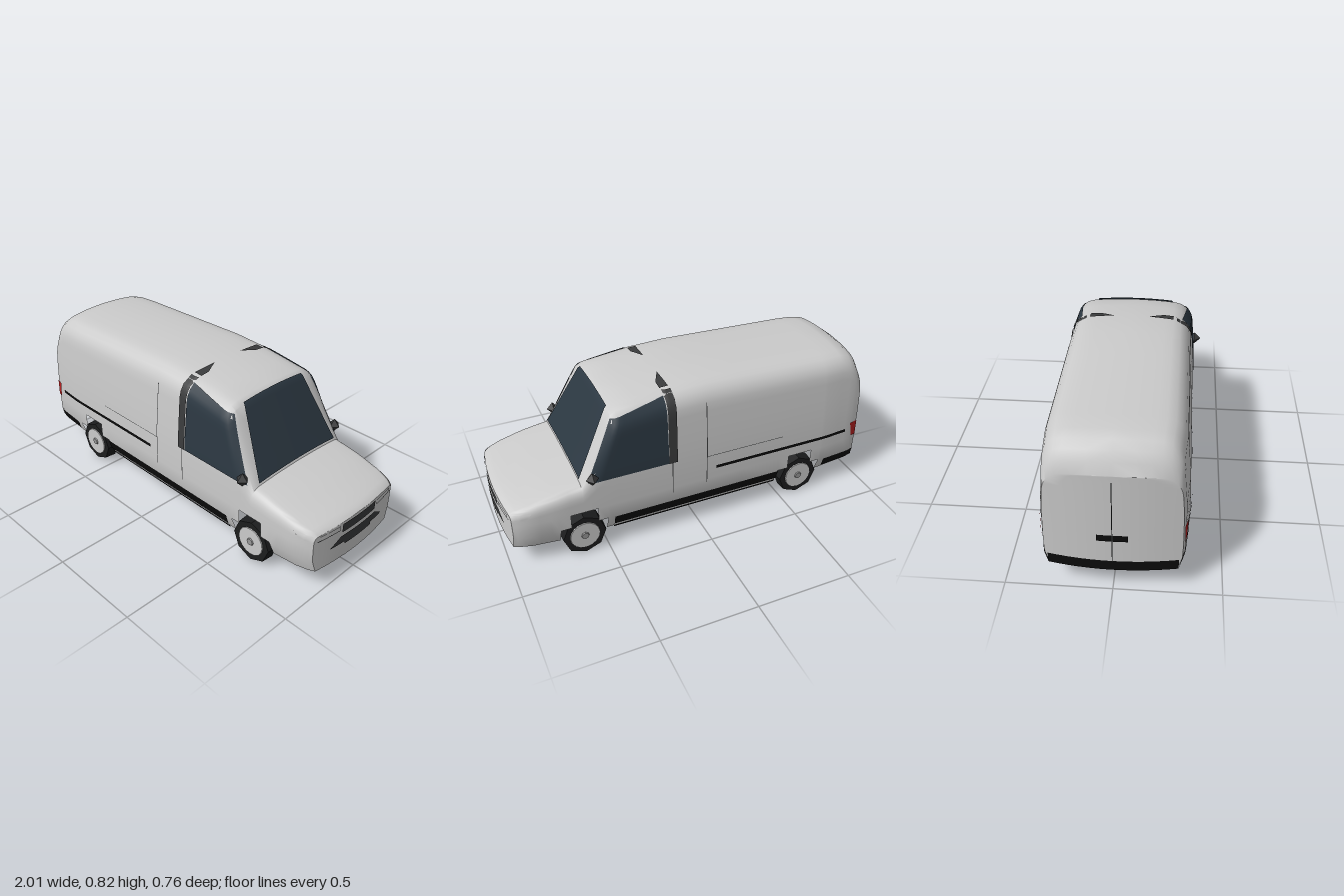
import * as THREE from 'three';
import { toCreasedNormals } from 'three/addons/utils/BufferGeometryUtils.js';

const paint = (color, side = THREE.FrontSide) => new THREE.MeshStandardMaterial({ color, side });
const GREY = 0xcccccc, BLACK = 0x0c0c0c, DARK = 0x3a3b3c, GLASS = 0x2c3842;

// Straight-line interpolation through [position, value] pairs
function along(knots, t) {
  if (t <= knots[0][0]) return knots[0][1];
  for (let i = 1; i < knots.length; i++) {
    const [a, u] = knots[i - 1], [b, v] = knots[i];
    if (t <= b) return u + (v - u) * (t - a) / (b - a);
  }
  return knots[knots.length - 1][1];
}

// Body rules: roof and hood line, floor line, plan taper, side curve
const ROOF = [[-1, 0.65], [-0.975, 0.7], [-0.95, 0.745], [-0.91, 0.775], [-0.85, 0.785], [-0.05, 0.808],
  [0.15, 0.8], [0.41, 0.768], [0.44, 0.752], [0.62, 0.418], [0.8, 0.385], [0.93, 0.355], [0.98, 0.34], [1, 0.325]];
const FLOOR = [[-1, 0.125], [-0.75, 0.11], [-0.7, 0.1], [0.75, 0.1], [1, 0.12]];
const PLAN = [[-1, 0.92], [-0.95, 0.955], [-0.75, 1], [0.75, 1], [0.9, 0.97], [0.96, 0.93], [1, 0.88]];
const SIDE = [[0.1, 0.3], [0.13, 0.318], [0.2, 0.34], [0.27, 0.339], [0.45, 0.336], [0.66, 0.318], [0.82, 0.302]];
const STATIONS = [-1, -0.975, -0.95, -0.91, -0.85, -0.75, -0.73, -0.67, -0.53, -0.47, -0.25, -0.05, 0.15, 0.3,
  0.41, 0.44, 0.47, 0.5, 0.55, 0.585, 0.62, 0.69, 0.75, 0.8, 0.86, 0.9, 0.93, 0.96, 0.98, 1];
const CROWN = 0.012;

// Half width of the body at a place on its side, rounding in to the roof
function half(x, y) {
  const top = along(ROOF, x), r = Math.min(0.1, (top - 0.25) * 0.4);
  const k = Math.max(0, Math.min(1, 1 - (top - y) / r));
  return along(PLAN, x) * along(SIDE, y) - 0.85 * r * (1 - Math.sqrt(1 - k * k));
}

// Bow the nose and tail in plan
function bow(x, y, z) {
  const e = Math.max(0, (Math.abs(x) - 0.7) / 0.3);
  return [x - Math.sign(x) * 0.03 * e * (z / 0.3) ** 2, y, z];
}

// One half cross-section, from the middle of the floor up to the middle of the roof
function section(x) {
  const top = along(ROOF, x), yb = along(FLOOR, x), low = Math.min(0.27, top - 0.08);
  const rows = [[0, yb], [0.24, yb]];
  for (const y of [yb, 0.19, low]) rows.push([half(x, y), y]);
  for (const f of [0.2, 0.4, 0.6, 0.75, 0.83, 0.89, 0.94, 0.98, 1]) {
    const y = low + f * (top - low);
    rows.push([half(x, y), y]);
  }
  const edge = half(x, top);
  for (const f of [0.8, 0.5, 0]) rows.push([edge * f, top + CROWN * (1 - f * f)]);
  return rows;
}

// Stepped wheel-arch openings
function inArch(x, row) {
  for (const [a, b, c, d] of [[-0.73, -0.67, -0.53, -0.47], [0.5, 0.55, 0.69, 0.75]]) {
    if (x > b && x < c) return row >= 1 && row <= 3;
    if (x > a && x < d) return row >= 1 && row <= 2;
  }
  return false;
}

function bodyShell() {
  const pos = [];
  const quad = (a, b, c, d, flip) => {
    for (const p of flip ? [a, c, b, a, d, c] : [a, b, c, a, c, d]) pos.push(...bow(...p));
  };
  const rings = STATIONS.map(section);
  for (const s of [1, -1]) {
    for (let i = 0; i < rings.length - 1; i++) {
      for (let j = 0; j < rings[i].length - 1; j++) {
        if (inArch((STATIONS[i] + STATIONS[i + 1]) / 2, j)) continue;
        const p = (k, row) => [STATIONS[k], rings[k][row][1], s * rings[k][row][0]];
        quad(p(i, j), p(i + 1, j), p(i + 1, j + 1), p(i, j + 1), s < 0);
      }
    }
  }
  // Nose and tail faces
  for (const end of [0, rings.length - 1]) {
    const ring = rings[end], n = 8;
    for (let j = 2; j < ring.length - 1; j++) {
      for (let i = 0; i < n; i++) {
        const p = (k, row) => [STATIONS[end], ring[row][1], ring[row][0] * (1 - 2 * k / n)];
        quad(p(i, j), p(i + 1, j), p(i + 1, j + 1), p(i, j + 1), end === 0);
      }
    }
  }
  const g = new THREE.BufferGeometry();
  g.setAttribute('position', new THREE.Float32BufferAttribute(pos, 3));
  return toCreasedNormals(g, 0.65);
}

// Thin panel: four corners (bottom pair, then top pair) laid over a surface rule
function panel(group, name, color, corners, rule, n = 12) {
  const g = new THREE.PlaneGeometry(1, 1, n, n), p = g.attributes.position;
  const [a, b, c, d] = corners;
  for (let i = 0; i < p.count; i++) {
    const u = p.getX(i) + 0.5, v = p.getY(i) + 0.5;
    const mix = k => (a[k] * (1 - u) + b[k] * u) * (1 - v) + (d[k] * (1 - u) + c[k] * u) * v;
    p.setXYZ(i, ...rule(mix(0), mix(1)));
  }
  g.computeVertexNormals();
  const m = new THREE.Mesh(g, paint(color, THREE.DoubleSide));
  m.name = name;
  group.add(m);
}
const rect = (x0, y0, x1, y1) => [[x0, y0], [x1, y0], [x1, y1], [x0, y1]];
const endRule = s => (z, y) => bow(s * 1.004, y, z);
const roofRule = (x, z) => {
  const top = along(ROOF, x), f = z / half(x, top);
  return [x + 0.005, top + CROWN * (1 - f * f) + 0.006, z];
};

function wheel(x, s) {
  const g = new THREE.Group();
  g.name = 'wheel';
  const add = (name, r0, r1, depth, color, z, sides) => {
    const geo = new THREE.CylinderGeometry(r0, r1, depth, sides).rotateX(Math.PI / 2);
    const mat = paint(color);
    mat.flatShading = true;
    const m = new THREE.Mesh(geo, mat);
    m.name = name;
    m.position.z = z;
    g.add(m);
  };
  add('tyre', 0.112, 0.116, 0.065, 0x1c1d1e, 0, 8);
  add('rim', 0.076, 0.08, 0.01, GREY, 0.032, 16);
  add('hub', 0.018, 0.022, 0.008, 0x999999, 0.039, 8);
  add('innerRim', 0.07, 0.07, 0.006, GREY, -0.032, 8);
  g.position.set(x, 0.117, s * 0.297);
  if (s < 0) g.rotation.y = Math.PI;
  return g;
}

export function createModel() {
  const van = new THREE.Group();
  van.name = 'van';
  const body = new THREE.Mesh(bodyShell(), paint(GREY));
  body.name = 'bodyShell';
  van.add(body);

  for (const s of [1, -1]) {
    const side = (name, color, corners, lift = 0.004) => panel(van, name, color, corners, (x, y) =>
      bow(x, y + 0.002, s * (half(x, Math.min(y, along(ROOF, x))) + lift)));
    // Cab glass and the dark pillar behind it
    side('sideWindow', GLASS, [[0.17, 0.43], [0.59, 0.43], [0.445, 0.73], [0.17, 0.785]]);
    side('doorPillar', DARK, [[0.125, 0.43], [0.17, 0.43], [0.165, 0.798], [0.12, 0.8]], 0.006);
    panel(van, 'pillarCap', DARK, [[0.12, s * 0.22], [0.165, s * 0.22], [0.165, s * 0.17], [0.125, s * 0.09]], roofRule);
    // Black trim along the lower body
    side('trimStrip', BLACK, rect(-0.91, 0.328, -0.09, 0.345), 0.007);
    side('sill', BLACK, rect(-0.47, 0.125, 0.465, 0.187));
    side('skirt', BLACK, rect(-0.47, 0.096, 0.465, 0.11), 0.006);
    side('rearBumperSide', BLACK, rect(-1, 0.128, -0.77, 0.182));
    // Door seams
    side('slidingDoorSeam', DARK, rect(-0.042, 0.25, -0.038, 0.72), 0.002);
    side('cabDoorSeam', DARK, rect(0.148, 0.24, 0.152, 0.43), 0.002);
    side('panelSeam', DARK, rect(-0.48, 0.408, -0.04, 0.411), 0.002);
    // Lamps
    side('tailLamp', 0xb82020, [[-0.998, 0.285], [-0.965, 0.285], [-0.945, 0.375], [-0.998, 0.375]], 0.006);
    side('headlampSide', 0xd8d8d8, [[0.93, 0.3], [0.998, 0.3], [0.998, 0.325], [0.9, 0.335]]);
    panel(van, 'headlamp', 0xd8d8d8, rect(s * 0.14, 0.298, s * 0.265, 0.322), endRule(1));
    panel(van, 'headlampEdge', DARK, rect(s * 0.14, 0.295, s * 0.28, 0.299), endRule(1));
    // Wing mirror, a diamond on a short arm
    const mirror = new THREE.Mesh(new THREE.OctahedronGeometry(0.036), paint(DARK));
    mirror.material.flatShading = true;
    mirror.name = 'wingMirror';
    mirror.scale.set(0.9, 1, 1);
    mirror.position.set(0.57, 0.46, s * 0.343);
    van.add(mirror);
    for (const x of [-0.605, 0.625]) van.add(wheel(x, s));
  }

  // Windscreen
  panel(van, 'windscreen', GLASS, [[0.615, 0.28], [0.615, -0.28], [0.432, -0.205], [0.432, 0.205]], roofRule, 16);
  // Nose openings
  panel(van, 'grille', DARK, rect(-0.125, 0.278, 0.125, 0.326), endRule(1));
  panel(van, 'lowerIntake', DARK, [[-0.2, 0.213], [0.2, 0.213], [0.13, 0.257], [-0.13, 0.257]], endRule(1));
  panel(van, 'intakeLip', DARK, rect(-0.1, 0.198, 0.1, 0.214), endRule(1));
  // Tail details
  panel(van, 'rearBumper', BLACK, rect(-0.295, 0.128, 0.295, 0.182), endRule(-1));
  panel(van, 'rearDoorSeam', DARK, rect(-0.002, 0.18, 0.002, 0.63), endRule(-1));
  panel(van, 'rearHandle', BLACK, rect(-0.07, 0.3, 0.07, 0.335), endRule(-1));
  return van;
}
